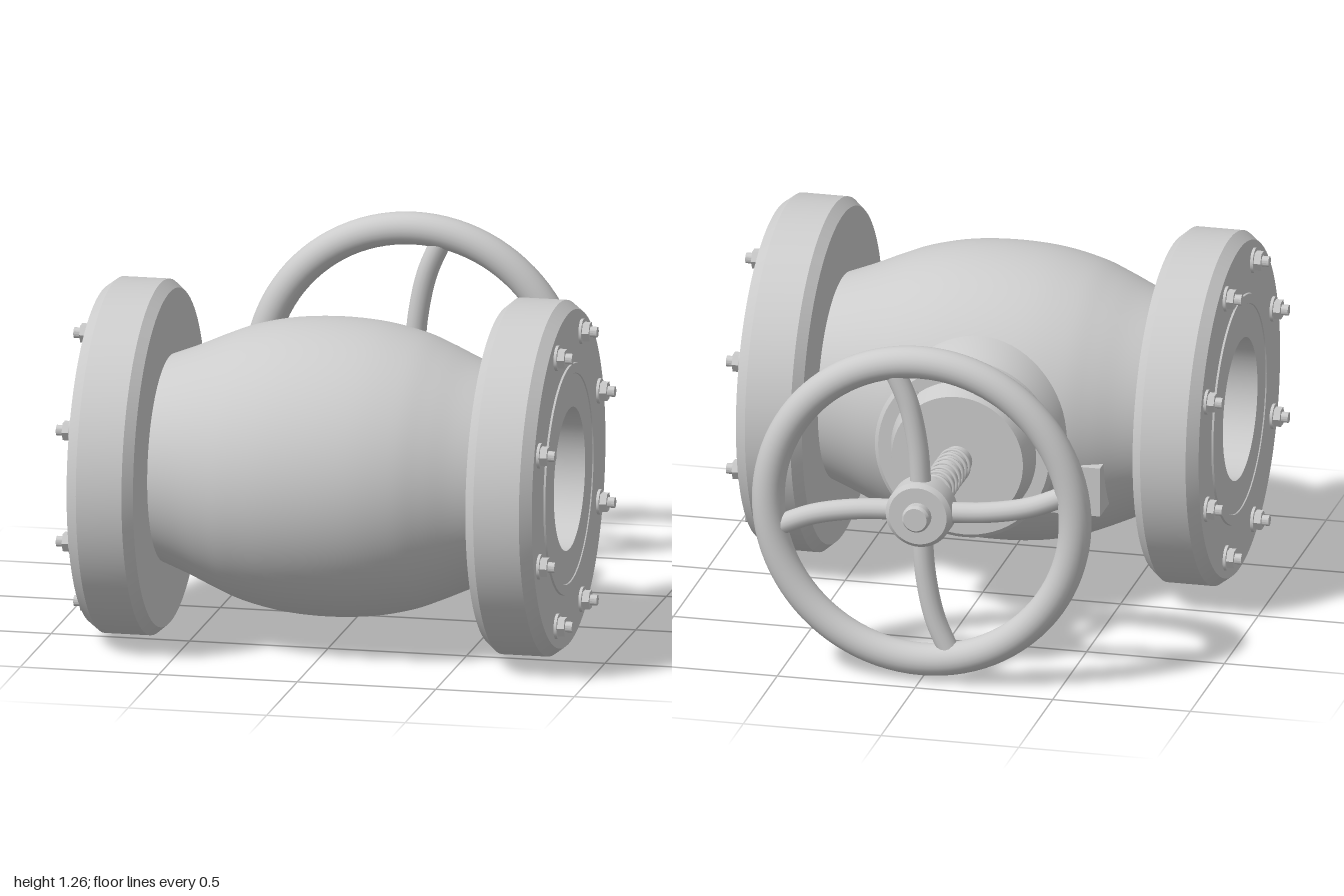
import * as THREE from 'three';
import { toCreasedNormals } from 'three/addons/utils/BufferGeometryUtils.js';

const AXIS_Y = 0.63, AXIS_Z = 0.37;
const V2 = (p) => new THREE.Vector2(p[0], p[1]);

export function createModel() {
  const model = new THREE.Group();
  const mat = new THREE.MeshStandardMaterial({ color: 0xcccccc, side: THREE.DoubleSide });

  const add = (parent, name, geo, x = 0, y = 0, z = 0) => {
    const mesh = new THREE.Mesh(geo, mat);
    mesh.name = name;
    mesh.position.set(x, y, z);
    parent.add(mesh);
    return mesh;
  };
  // Turned part about local y; points are [radius, height]
  const turned = (pts, seg = 72) =>
    toCreasedNormals(new THREE.LatheGeometry(pts.map(V2), seg), 0.5);
  const rod = (r, h, sides = 32) =>
    toCreasedNormals(new THREE.CylinderGeometry(r, r, h, sides), 0.6);
  // Nut, washer and stud end standing on local y = 0
  const bolt = (name, s) => {
    const g = new THREE.Group();
    g.name = name;
    add(g, 'washer', rod(0.045 * s, 0.01 * s, 24), 0, 0.005 * s, 0);
    add(g, 'nut', rod(0.036 * s, 0.03 * s, 6), 0, 0.02 * s, 0);
    add(g, 'studEnd', rod(0.019 * s, 0.06 * s, 16), 0, 0.03 * s, 0);
    return g;
  };

  // Pipe run: local y becomes world x
  const run = new THREE.Group();
  run.name = 'pipeRun';
  run.position.set(0, AXIS_Y, AXIS_Z);
  run.rotation.z = -Math.PI / 2;
  model.add(run);

  // Bulging body
  const half = [[0.365, 0.61], [0.408, 0.5], [0.452, 0.4], [0.49, 0.3], [0.52, 0.16]];
  const bulge = [...half.map(([r, h]) => [r, -h]), [0.53, 0], ...[...half].reverse()];
  const curve = new THREE.SplineCurve(bulge.map(V2));
  add(run, 'body', new THREE.LatheGeometry(curve.getPoints(48), 96));

  // Through bore
  add(run, 'bore', new THREE.LatheGeometry([[0.255, 0.84], [0.255, -0.84]].map(V2), 72));

  // End flanges with raised faces and studs
  for (const side of [1, -1]) {
    const end = new THREE.Group();
    end.name = side > 0 ? 'leftEnd' : 'rightEnd';
    if (side < 0) end.rotation.x = Math.PI;
    run.add(end);
    add(end, 'flange', turned([
      [0.255, 0.6], [0.6, 0.6], [0.63, 0.635], [0.63, 0.8], [0.6, 0.84],
      [0.412, 0.84], [0.41, 0.847], [0.375, 0.847], [0.373, 0.843], [0.255, 0.843], [0.255, 0.6],
    ], 96));
    for (let i = 0; i < 8; i++) {
      const a = (i + 0.5) * Math.PI / 4;
      const b = bolt('flangeBolt', 1);
      b.position.set(0.527 * Math.cos(a), 0.84, 0.527 * Math.sin(a));
      end.add(b);
    }
  }

  // Small lug on the back of the body
  add(model, 'lug', new THREE.BoxGeometry(0.18, 0.18, 0.2), -0.36, 0.45, 0);

  // Bonnet and handwheel: local y becomes world -z, local z becomes world up
  const top = new THREE.Group();
  top.name = 'bonnetAndHandwheel';
  top.position.set(0, AXIS_Y, 0);
  top.rotation.x = -Math.PI / 2;
  model.add(top);

  add(top, 'neck', turned([[0.36, -0.06], [0.345, 0.03], [0.336, 0.1], [0.318, 0.15], [0.3, 0.205]]));
  add(top, 'bonnetFlange', turned([
    [0, 0.2], [0.298, 0.2], [0.305, 0.225], [0.325, 0.23], [0.325, 0.272], [0.31, 0.285], [0, 0.285],
  ]));
  add(top, 'bonnet', turned([[0.265, 0.28], [0.26, 0.3], [0.238, 0.375], [0, 0.375]]));
  for (let i = 0; i < 4; i++) {
    const a = (i + 0.5) * Math.PI / 2;
    const b = bolt('bonnetBolt', 0.72);
    b.position.set(0.268 * Math.cos(a), 0.285, 0.268 * Math.sin(a));
    top.add(b);
  }

  // Stem with a helical thread
  add(top, 'stem', rod(0.054, 0.52), 0, 0.62, 0);
  const turns = 9.5, steps = 152, helix = [];
  for (let i = 0; i <= steps; i++) {
    const t = i / steps, a = t * turns * 2 * Math.PI;
    helix.push(new THREE.Vector3(0.055 * Math.cos(a), 0.41 + 0.44 * t, 0.055 * Math.sin(a)));
  }
  add(top, 'thread', new THREE.TubeGeometry(new THREE.CatmullRomCurve3(helix), 400, 0.008, 6));

  // Handwheel rim, hub and retaining nut
  const rim = new THREE.TorusGeometry(0.557, 0.058, 24, 96);
  rim.rotateX(Math.PI / 2);
  add(top, 'wheelRim', rim, 0, 0.9, 0);
  add(top, 'wheelHub', turned([
    [0, 0.845], [0.105, 0.845], [0.12, 0.86], [0.12, 0.945], [0.105, 0.96], [0, 0.96],
  ], 48));
  add(top, 'wheelNut', turned([[0.05, 0.95], [0.05, 0.99], [0.042, 1], [0, 1]], 32));

  // Four swept spokes
  for (let i = 0; i < 4; i++) {
    const path = [0.08, 0.24, 0.4, 0.55].map((r, k) => {
      const a = i * Math.PI / 2 - [0.02, 0.06, 0.12, 0.2][k];
      return new THREE.Vector3(r * Math.cos(a), 0.9, r * Math.sin(a));
    });
    add(top, 'wheelSpoke', new THREE.TubeGeometry(new THREE.CatmullRomCurve3(path), 20, 0.037, 16));
  }

  return model;
}
